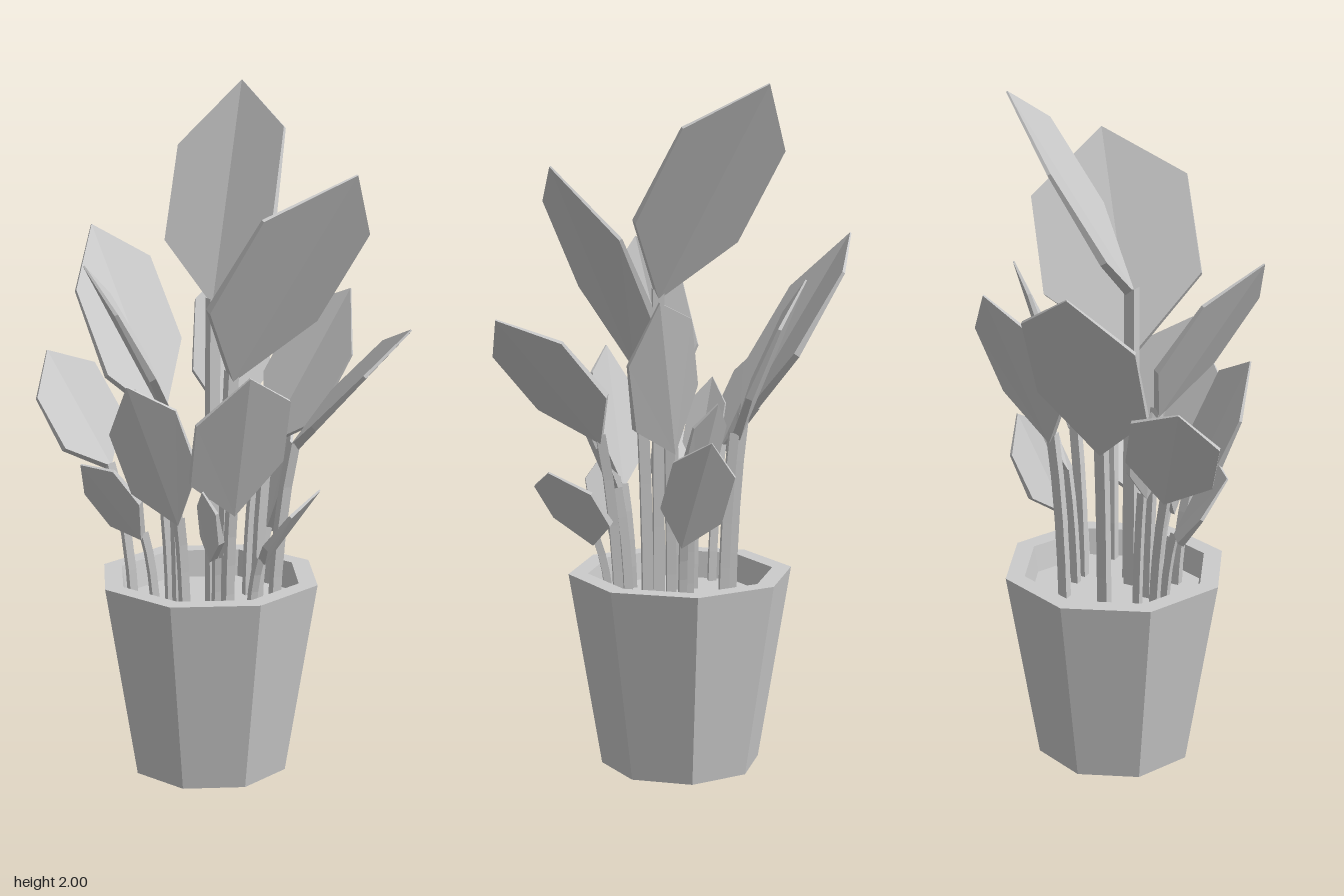
import * as THREE from 'three';

const material = new THREE.MeshStandardMaterial({ color: 0xcccccc, flatShading: true });
const v = (a) => new THREE.Vector3(...a);
const POT = { x: -0.07, z: 0.012, soil: 0.5 };

// Each leaf: base point, tip point, half-width vector
const LEAVES = [
  // tall leaves
  [[-0.035, 1.395, 0.08], [-0.07, 2.0, -0.29], [0.178, 0.035, 0.05]],
  [[0.015, 1.195, 0.09], [0.39, 1.78, 0.11], [-0.09, 0.04, 0.21]],
  [[0.20, 1.01, 0.085], [0.56, 1.375, 0.165], [0.005, -0.027, 0.12]],
  [[-0.24, 1.02, -0.08], [-0.54, 1.56, -0.265], [-0.066, -0.035, 0.135]],
  [[-0.35, 0.90, 0.07], [-0.565, 1.225, 0.03], [-0.045, -0.035, 0.11]],
  [[-0.15, 1.08, 0.10], [-0.305, 1.535, 0.36], [0.05, -0.01, 0.10]],
  // middle leaves
  [[-0.08, 0.80, 0.23], [-0.18, 1.21, 0.375], [0.10, 0.042, 0.005]],
  [[0.045, 0.82, 0.15], [0.155, 1.245, 0.32], [0.108, 0.025, -0.085]],
  [[0.08, 0.97, -0.06], [0.295, 1.42, -0.185], [0.09, -0.06, 0.04]],
  [[-0.07, 1.0, -0.17], [-0.125, 1.46, -0.38], [0.10, -0.01, -0.06]],
  [[0.03, 0.85, -0.10], [0.07, 1.12, -0.22], [0.05, 0, 0.02]],
  // short leaves
  [[0.07, 0.70, -0.10], [0.11, 1.015, -0.23], [0.045, 0.02, 0.075]],
  [[0.13, 0.69, 0.165], [0.315, 0.915, 0.19], [0, 0, 0.105]],
  [[-0.22, 0.725, 0.14], [-0.375, 0.945, 0.24], [0.065, 0.05, 0.05]],
  [[0.02, 0.69, 0.20], [0.0, 0.90, 0.26], [0.04, 0, 0.035]],
  [[-0.20, 0.85, 0.05], [-0.28, 1.13, 0.05], [0.015, 0, 0.055]],
];

// Six-sided slab, creased along its midrib and thinning towards the tip
function leafGeometry(base, tip, side) {
  const axis = tip.clone().sub(base);
  const s = side.clone();
  const n = s.clone().cross(axis).normalize();
  if (n.y < 0) { n.negate(); s.negate(); }
  const lift = 0.03 * axis.length();
  const corner = (t, k) => base.clone().addScaledVector(axis, t).addScaledVector(s, k).addScaledVector(n, lift);
  const top = [base, corner(0.3, 1), corner(0.73, 1), tip, corner(0.73, -1), corner(0.3, -1)];
  const thickness = [0.026, 0.02, 0.01, 0.005, 0.01, 0.02];
  const bottom = top.map((p, i) => p.clone().addScaledVector(n, -thickness[i]));
  const pts = [...top, ...bottom].flatMap((p) => p.toArray());
  const index = [];
  for (const [a, b, c] of [[0, 1, 2], [0, 2, 3], [0, 3, 4], [0, 4, 5]]) {
    index.push(a, b, c, a + 6, c + 6, b + 6);
  }
  for (let i = 0; i < 6; i++) {
    const j = (i + 1) % 6;
    index.push(i, i + 6, j + 6, i, j + 6, j);
  }
  const g = new THREE.BufferGeometry();
  g.setAttribute('position', new THREE.Float32BufferAttribute(pts, 3));
  g.setIndex(index);
  g.computeVertexNormals();
  return g;
}

// Four-sided stalk rising almost upright from the soil and bending into the leaf
function stemGeometry(base, tip) {
  const axis = tip.clone().sub(base);
  const center = new THREE.Vector3(POT.x, 0, POT.z);
  const root = base.clone().setY(0).sub(center).multiplyScalar(0.85).clampLength(0, 0.225).add(center);
  root.y = POT.soil - 0.02;
  const bend = root.clone().lerp(base, 0.2);
  bend.y = THREE.MathUtils.lerp(root.y, base.y, 0.6);
  const end = base.clone().addScaledVector(axis, 0.03);
  const path = new THREE.QuadraticBezierCurve3(root, bend, end);
  return new THREE.TubeGeometry(path, 4, 0.01 + 0.018 * axis.length(), 4);
}

export function createModel() {
  const group = new THREE.Group();
  const add = (name, geometry) => {
    const mesh = new THREE.Mesh(geometry, material);
    mesh.name = name;
    group.add(mesh);
    return mesh;
  };

  // Octagonal tapered pot with a thick rim
  const profile = [[0, 0], [0.236, 0], [0.332, 0.58], [0.275, 0.58], [0.255, 0.46]]
    .map(([r, y]) => new THREE.Vector2(r, y));
  add('pot', new THREE.LatheGeometry(profile, 8)).position.set(POT.x, 0, POT.z);

  // Soil
  add('soil', new THREE.CylinderGeometry(0.262, 0.256, 0.04, 8))
    .position.set(POT.x, POT.soil - 0.02, POT.z);

  // Leaves and their stems
  for (const [b, t, s] of LEAVES) {
    const base = v(b), tip = v(t);
    add('leaf', leafGeometry(base, tip, v(s)));
    add('stem', stemGeometry(base, tip));
  }
  return group;
}
